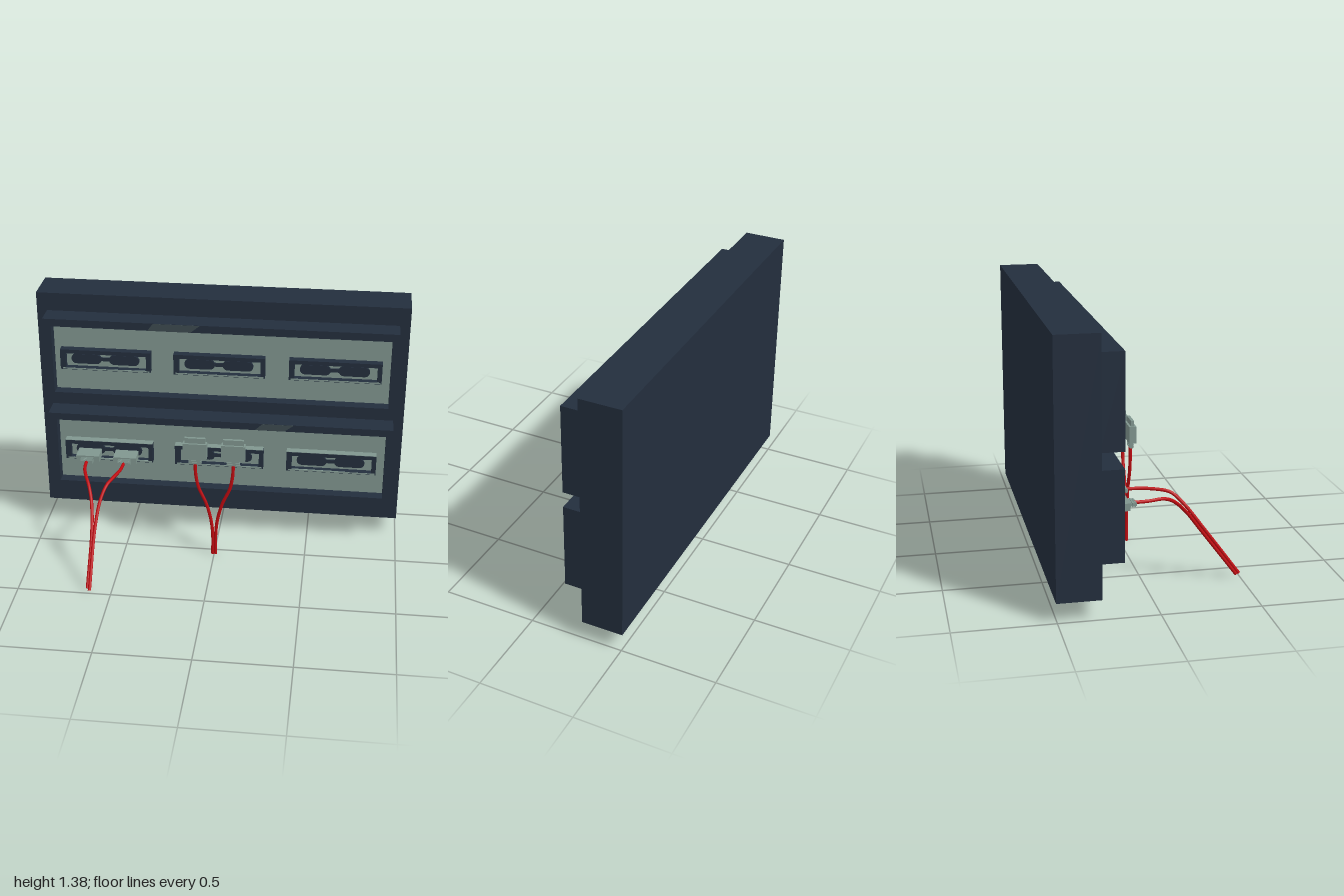
import * as THREE from 'three';

const mat = (name, color, side = THREE.FrontSide) => {
  const m = new THREE.MeshStandardMaterial({ color, side });
  m.name = name;
  return m;
};

export function createModel() {
  const root = new THREE.Group();
  const navy = mat('darkNavy', 0x232e3d);
  const grey = mat('greyGreen', 0x80968f);
  const worn = mat('wornGrey', 0x3c4a4f);
  const red = mat('cableRed', 0xc00a10, THREE.DoubleSide);

  const add = (parent, name, geo, material) => {
    const m = new THREE.Mesh(geo, material);
    m.name = name;
    parent.add(m);
    return m;
  };
  // Box given by its minimum and maximum on each axis
  const box = (parent, name, material, x0, x1, y0, y1, z0, z1) => {
    const m = add(parent, name, new THREE.BoxGeometry(x1 - x0, y1 - y0, z1 - z0), material);
    m.position.set((x0 + x1) / 2, (y0 + y1) / 2, (z0 + z1) / 2);
    return m;
  };
  const rect = (T, x0, x1, y0, y1) => {
    const p = new T();
    p.moveTo(x0, y0);
    p.lineTo(x1, y0);
    p.lineTo(x1, y1);
    p.lineTo(x0, y1);
    p.closePath();
    return p;
  };
  // Rectangular ring: outer and inner are [x0, x1, y0, y1]
  const ring = (parent, name, material, outer, inner, z0, z1) => {
    const s = rect(THREE.Shape, ...outer);
    s.holes.push(rect(THREE.Path, ...inner));
    const geo = new THREE.ExtrudeGeometry(s, { depth: z1 - z0, bevelEnabled: false });
    add(parent, name, geo, material).position.z = z0;
  };
  // Thin painted polygon
  const patch = (parent, pts, z) => {
    const s = new THREE.Shape(pts.map(([x, y]) => new THREE.Vector2(x, y)));
    add(parent, 'wornPatch', new THREE.ExtrudeGeometry(s, { depth: 0.001, bevelEnabled: false }), worn).position.z = z;
  };

  // Rear housing
  box(root, 'housing', navy, -1, 1, 0.1, 1.38, -0.505, -0.285);

  // Pill-shaped port opening
  const pill = (w, h) => {
    const s = new THREE.Shape(), r = h / 2, c = w / 2 - r;
    s.absarc(c, 0, r, -Math.PI / 2, Math.PI / 2);
    s.absarc(-c, 0, r, Math.PI / 2, Math.PI * 1.5);
    return new THREE.ExtrudeGeometry(s, { depth: 0.012, bevelEnabled: false, curveSegments: 4 });
  };

  // Socket: dark rim, grey floor and two ports
  const socket = (parent, x, y, greyTop) => {
    const g = new THREE.Group();
    g.name = 'socket';
    g.position.set(x, y, 0);
    parent.add(g);
    ring(g, 'socketRim', navy, [-0.246, 0.246, -0.057, 0.058], [-0.217, 0.222, -0.047, 0.036], -0.225, -0.183);
    box(g, 'socketFloor', grey, -0.217, 0.222, -0.047, 0.036, -0.225, -0.216);
    box(g, 'socketLip', grey, -0.235, 0.24, -0.055, -0.047, -0.19, -0.182);
    for (const px of [-0.107, 0.1]) {
      const p = add(g, 'port', pill(0.165, 0.055), navy);
      p.position.set(px, -0.002, -0.216);
    }
    box(g, 'portBridge', navy, -0.04, 0.035, -0.012, 0.008, -0.216, -0.208);
    if (greyTop) box(g, 'socketTop', grey, -0.246, 0.246, 0.058, 0.06, -0.225, -0.184);
  };

  // Bays: protruding frame, recessed panel and three sockets
  const bays = [
    { name: 'upperBay', y: [0.805, 1.28], open: [0.85, 1.238], socketY: 1.04 },
    { name: 'lowerBay', y: [0.257, 0.72], open: [0.295, 0.68], socketY: 0.487 },
  ];
  bays.forEach((b, i) => {
    const g = new THREE.Group();
    g.name = b.name;
    root.add(g);
    ring(g, 'bayFrame', navy, [-0.945, 0.945, ...b.y], [-0.9, 0.91, ...b.open], -0.285, -0.165);
    box(g, 'bayPanel', grey, -0.9, 0.91, ...b.open, -0.285, -0.225);
    for (const x of [-0.617, 0, 0.62]) socket(g, x, b.socketY, i === 1);
  });

  // Worn paint on the frames
  patch(root, [[-0.38, 1.238], [-0.15, 1.238], [-0.1, 1.279], [-0.35, 1.279]], -0.165);
  patch(root, [[0.2, 0.681], [0.36, 0.681], [0.41, 0.719], [0.24, 0.719]], -0.165);

  // Plug: tongue points to +y, cable leaves at the lower end
  const plug = (name, x, y, z, rotX) => {
    const g = new THREE.Group();
    g.name = name;
    box(g, 'plugBody', grey, -0.064, 0.064, 0, 0.09, -0.019, 0.019);
    box(g, 'plugTongue', grey, -0.056, 0.056, 0.09, 0.12, -0.008, 0.008);
    box(g, 'plugNeck', grey, -0.033, 0.033, -0.037, 0, -0.008, 0.008);
    for (let k = 0; k < 3; k++) {
      const ry = -0.032 + k * 0.012;
      box(g, 'neckRib', grey, -0.035, 0.035, ry, ry + 0.006, -0.011, 0.011);
    }
    g.position.set(x, y, z);
    g.rotation.x = rotX;
    root.add(g);
  };
  const cable = (name, pts) => {
    const curve = new THREE.CatmullRomCurve3(pts.map(p => new THREE.Vector3(...p)));
    const g = new THREE.Group();
    g.name = name;
    root.add(g);
    add(g, 'cableSheath', new THREE.TubeGeometry(curve, 40, 0.009, 8), red);
    // End cap
    const cap = add(g, 'cableEnd', new THREE.CircleGeometry(0.009, 8), red);
    cap.position.copy(curve.getPoint(1));
    cap.quaternion.setFromUnitVectors(new THREE.Vector3(0, 0, 1), curve.getTangent(1));
  };

  for (const s of [-1, 1]) {
    // Hanging pair
    plug('loosePlug', s * 0.103, 0.602, 0.04, 0);
    cable('looseCable', [[s * 0.103, 0.575, 0.04], [s * 0.1, 0.5, 0.04], [s * 0.085, 0.42, 0.04],
      [s * 0.045, 0.325, 0.04], [s * 0.018, 0.22, 0.04], [s * 0.008, 0.12, 0.04], [s * 0.008, 0, 0.04]]);

    // Connected pair, drooping forward
    const cx = -0.62, o = s * 0.006;
    plug('connectedPlug', cx + s * 0.104, 0.475, -0.105, -Math.PI / 2);
    cable('connectedCable', [[cx + s * 0.104, 0.475, -0.075], [cx + s * 0.098, 0.475, 0],
      [cx + s * 0.075, 0.473, 0.08], [cx + s * 0.05, 0.455 + o, 0.14 + o], [cx + s * 0.025, 0.395 + o, 0.205 + o],
      [cx + s * 0.009, 0.27 + o, 0.3 + o], [cx + s * 0.007, 0.017, 0.488 + o * 1.5]]);
  }
  return root;
}
